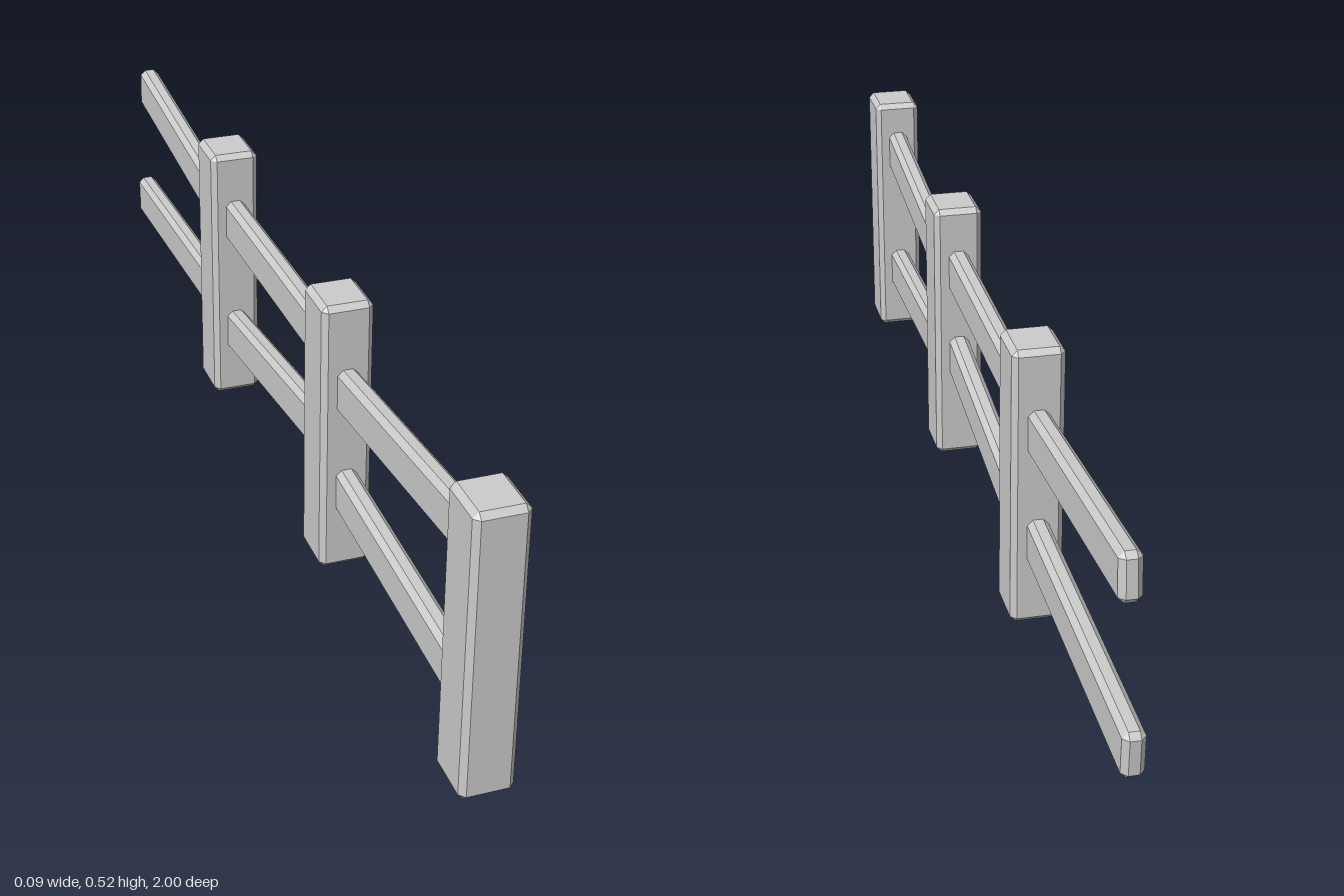
import * as THREE from 'three';
import { ConvexGeometry } from 'three/addons/geometries/ConvexGeometry.js';

const material = new THREE.MeshStandardMaterial({ color: 0xcccccc, flatShading: true });

// Box with all edges chamfered: hull of the corners of its six inset faces
function chamferedBox(w, h, d, c) {
  const half = [w / 2, h / 2, d / 2];
  const points = [];
  for (let axis = 0; axis < 3; axis++)
    for (const sx of [-1, 1]) for (const sy of [-1, 1]) for (const sz of [-1, 1]) {
      const p = [sx, sy, sz].map((s, i) => s * (half[i] - (i === axis ? 0 : c)));
      points.push(new THREE.Vector3(...p));
    }
  return new ConvexGeometry(points);
}

export function createModel() {
  const fence = new THREE.Group();
  fence.name = 'fence';

  // Upright posts
  const postHeight = 0.523;
  const postGeometry = chamferedBox(0.092, postHeight, 0.104, 0.01);
  [0.948, 0.301, -0.348].forEach((z, i) => {
    const post = new THREE.Mesh(postGeometry, material);
    post.name = `post${i + 1}`;
    post.position.set(0, postHeight / 2, z);
    fence.add(post);
  });

  // Crooked rails: [name, start z, start y, end z, end y] along the centre line
  const rails = [
    ['upperRailFront', 0.93, 0.42, 0.32, 0.355],
    ['lowerRailFront', 0.93, 0.137, 0.32, 0.16],
    ['upperRailMiddle', 0.28, 0.396, -0.33, 0.383],
    ['lowerRailMiddle', 0.28, 0.218, -0.33, 0.138],
    ['upperRailBack', -0.345, 0.367, -0.953, 0.415],
    ['lowerRailBack', -0.37, 0.164, -0.998, 0.135],
  ];
  for (const [name, z0, y0, z1, y1] of rails) {
    const length = Math.hypot(z1 - z0, y1 - y0);
    const rail = new THREE.Mesh(chamferedBox(0.038, 0.084, length, 0.01), material);
    rail.name = name;
    rail.position.set(0, (y0 + y1) / 2, (z0 + z1) / 2);
    rail.rotation.x = Math.atan2(y1 - y0, z0 - z1);
    fence.add(rail);
  }
  return fence;
}
